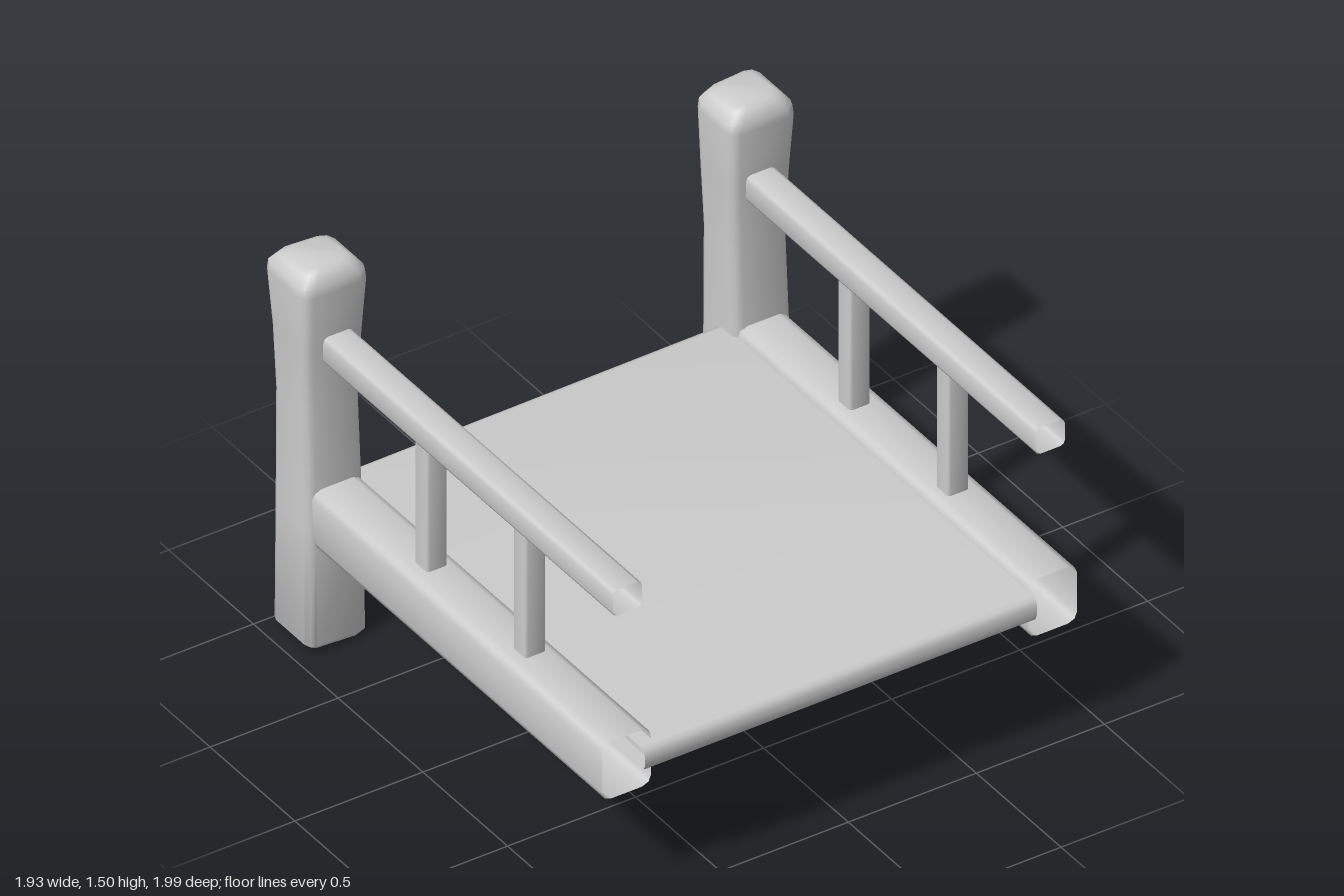
import * as THREE from 'three';
import { toCreasedNormals } from 'three/addons/utils/BufferGeometryUtils.js';

// Outline of a rounded rectangle in x/z, three points per corner.
function ringPoints({ y, x = 0, z = 0, w, d, r, tilt = 0 }) {
  const points = [];
  [[1, 1], [-1, 1], [-1, -1], [1, -1]].forEach(([sx, sz], corner) => {
    for (let k = 0; k < 3; k++) {
      const a = (corner + k / 2) * Math.PI / 2;
      const px = sx * (w / 2 - r) + r * Math.cos(a);
      const pz = sz * (d / 2 - r) + r * Math.sin(a);
      points.push(x + px, y + tilt * px, z + pz);
    }
  });
  return points;
}

// Skin a stack of rings running up y; ends are left open unless capped.
function loft(rings, capped) {
  const n = 12, index = [];
  const position = rings.flatMap(ringPoints);
  for (let i = 0; i < rings.length - 1; i++) {
    for (let j = 0; j < n; j++) {
      const a = i * n + j, b = i * n + (j + 1) % n;
      index.push(a, a + n, b, b, a + n, b + n);
    }
  }
  if (capped) {
    const top = (rings.length - 1) * n;
    for (let j = 1; j < n - 1; j++) {
      index.push(0, j, j + 1, top, top + j + 1, top + j);
    }
  }
  const geometry = new THREE.BufferGeometry();
  geometry.setAttribute('position', new THREE.Float32BufferAttribute(position, 3));
  geometry.setIndex(index);
  return geometry;
}

export function createModel() {
  const model = new THREE.Group();
  model.name = 'balconyFrame';
  const solid = new THREE.MeshStandardMaterial({ color: 0xcccccc });
  const open = new THREE.MeshStandardMaterial({ color: 0xcccccc, side: THREE.DoubleSide });

  function add(name, geometry, material, parent = model) {
    const mesh = new THREE.Mesh(toCreasedNormals(geometry, 0.9), material);
    mesh.name = name;
    parent.add(mesh);
  }

  // Hollow beam running front to back.
  function beam(x, y, w, h, r, front, back) {
    return loft([
      { y: back, x, z: -y, w, d: h, r },
      { y: front, x, z: -y, w, d: h, r },
    ], false).rotateX(Math.PI / 2);
  }

  // Post: waisted shaft with a swollen, bevelled head.
  function post(s) {
    const x = s * 0.835;
    const geometry = loft([
      { y: 0.012, x, z: -0.857, w: 0.19, d: 0.19, r: 0.02, tilt: s * 0.06 },
      { y: 0.035, x, z: -0.857, w: 0.232, d: 0.228, r: 0.03, tilt: s * 0.03 },
      { y: 0.5, x, z: -0.862, w: 0.224, d: 0.218, r: 0.03 },
      { y: 0.95, x, z: -0.874, w: 0.215, d: 0.2, r: 0.03 },
      { y: 1.2, x, z: -0.874, w: 0.232, d: 0.216, r: 0.03 },
      { y: 1.42, x, z: -0.872, w: 0.258, d: 0.238, r: 0.035 },
      { y: 1.455, x, z: -0.872, w: 0.254, d: 0.236, r: 0.04 },
      { y: 1.49, x, z: -0.87, w: 0.2, d: 0.195, r: 0.04 },
      { y: 1.503, x, z: -0.868, w: 0.155, d: 0.15, r: 0.035 },
    ], true);
    // Skew the back of the head slightly outwards.
    const p = geometry.attributes.position;
    for (let i = 0; i < p.count; i++) {
      if (p.getY(i) > 1.3 && p.getZ(i) < -0.9) {
        p.setZ(i, p.getZ(i) - 0.08 * (s * p.getX(i) - 0.835));
      }
    }
    return geometry;
  }

  // Deck board, rounded front and back, open at its sides.
  add('deck', loft([
    { y: -0.79, x: -0.552, z: 0.062, w: 0.088, d: 1.866, r: 0.03 },
    { y: 0.74, x: -0.56, z: 0.062, w: 0.1, d: 1.866, r: 0.03 },
  ], false).rotateZ(-Math.PI / 2), open);

  // Post, side beam and railing on each side.
  for (const [side, s] of [['left', 1], ['right', -1]]) {
    const group = new THREE.Group();
    group.name = side + 'Side';
    model.add(group);
    add('post', post(s), solid, group);
    add('sideBeam', beam(s * 0.832, 0.532, 0.192, 0.226, 0.035, 0.948, -0.82), open, group);
    add('handrail', beam(s * 0.826, 1.188, 0.114, 0.104, 0.018, 0.944, -0.82), open, group);
    for (const z of [0.366, -0.214]) {
      add('baluster', loft([
        { y: 0.62, x: s * 0.826, z, w: 0.08, d: 0.076, r: 0.01 },
        { y: 1.15, x: s * 0.826, z, w: 0.08, d: 0.076, r: 0.01 },
      ], false), open, group);
    }
  }
  return model;
}
